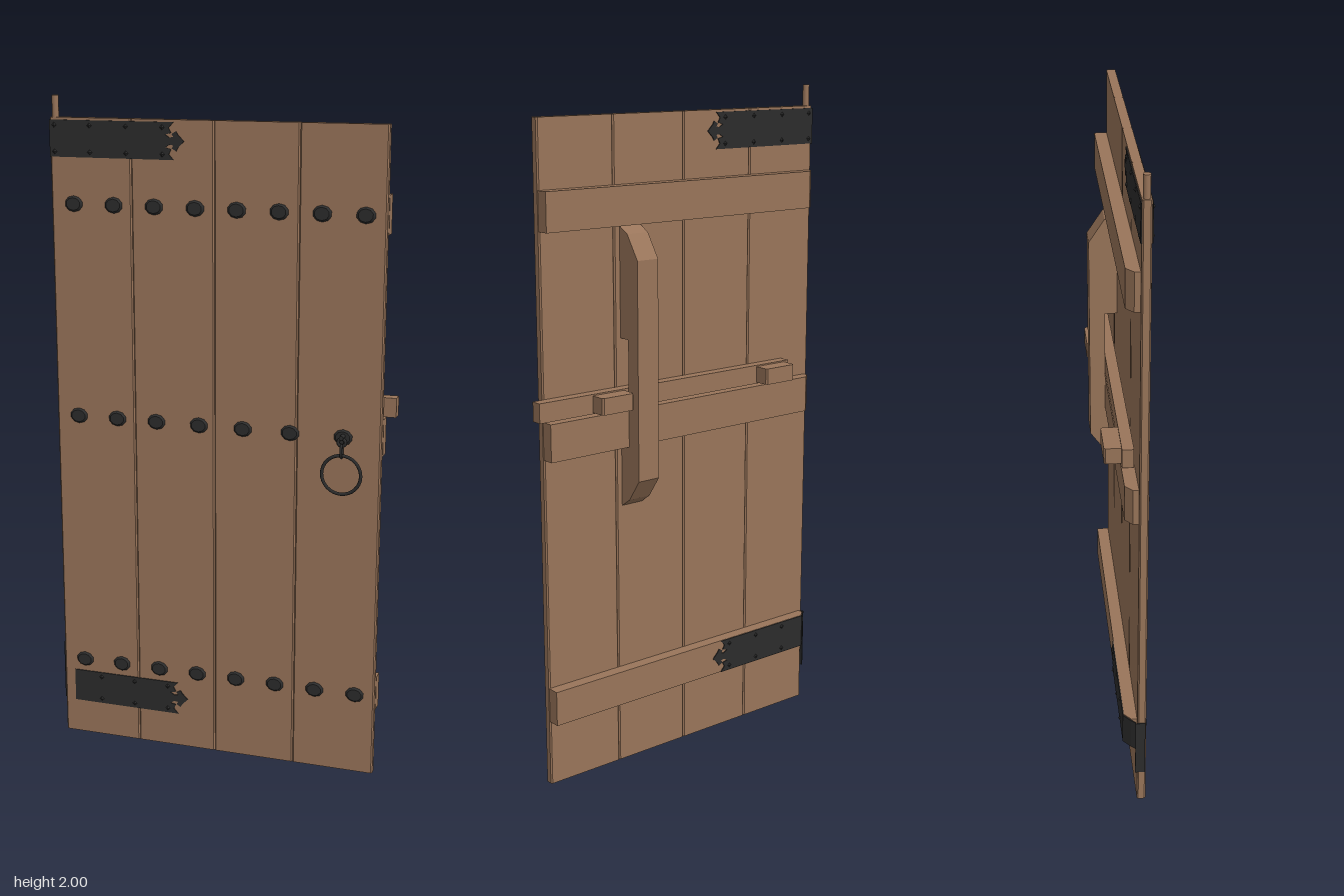
import * as THREE from 'three';

const wood = new THREE.MeshStandardMaterial({ color: 0x99755a });
wood.name = 'wood';
const iron = new THREE.MeshStandardMaterial({ color: 0x2c2c2c });
iron.name = 'iron';

const shapeOf = (pts) => new THREE.Shape(pts.map(([a, b]) => new THREE.Vector2(a, b)));
const extrude = (pts, depth) =>
  new THREE.ExtrudeGeometry(shapeOf(pts), { depth, bevelEnabled: false });

// Plan outline (x, z) raised from y0 to y1
function planGeometry(pts, y0, y1) {
  return extrude(pts.map(([x, z]) => [x, -z]), y1 - y0).rotateX(-Math.PI / 2).translate(0, y0, 0);
}

function boxGeometry(x0, x1, y0, y1, z0, z1) {
  return new THREE.BoxGeometry(x1 - x0, y1 - y0, z1 - z0)
    .translate((x0 + x1) / 2, (y0 + y1) / 2, (z0 + z1) / 2);
}

export function createModel() {
  const door = new THREE.Group();
  door.name = 'plankDoor';
  const add = (name, geometry, material, parent = door) => {
    const mesh = new THREE.Mesh(geometry, material);
    mesh.name = name;
    parent.add(mesh);
    return mesh;
  };

  const back = 0.014, front = 0.04;

  // Four planks with chamfered long edges
  const w = 0.2512, c = 0.004;
  for (let i = 0; i < 4; i++) {
    const a = -0.52 + i * w, b = a + w;
    add('plank', planGeometry([
      [a + c, back], [b - c, back], [b, back + c], [b, front - c],
      [b - c, front], [a + c, front], [a, front - c], [a, back + c],
    ], 0, 1.938), wood);
  }

  // Pivot pin at the hinge corner
  add('pivotPin', new THREE.CylinderGeometry(0.01, 0.01, 0.1, 12)
    .translate(-0.506, 1.95, 0.027), wood);

  // Three cross battens, chamfered at the hinge end
  for (const [y0, y1] of [[1.634, 1.745], [0.995, 1.105], [0.2, 0.305]]) {
    add('batten', planGeometry([
      [-0.507, back], [0.485, back], [0.485, -0.023], [-0.483, -0.023], [-0.507, -0.002],
    ], y0, y1), wood);
  }

  // Sliding bolt with two grips
  add('slidingBar', boxGeometry(-0.405, 0.52, 1.113, 1.17, -0.022, 0.011), wood);
  for (const [x0, x1] of [[-0.388, -0.275], [0.23, 0.34]]) {
    const r = 0.005;
    add('barGrip', planGeometry([
      [x0, 0], [x1, 0], [x1, -0.07 + r], [x1 - r, -0.07], [x0 + r, -0.07], [x0, -0.07 + r],
    ], 1.117, 1.166), wood);
  }

  // Upright guide, notched where the bar and batten pass
  add('barGuide', extrude([
    [back, 1.63], [-0.022, 1.61], [-0.068, 1.54], [-0.068, 0.9], [-0.022, 0.835], [back, 0.81],
    [back, 0.995], [-0.022, 0.995], [-0.022, 1.31], [back, 1.31],
  ], 0.073).rotateY(-Math.PI / 2).translate(0.214, 0, 0), wood);

  // Rows of flattened nail heads
  const evenRow = Array.from({ length: 8 }, (_, i) => -0.45 + i * 0.125);
  const middleRow = [-0.45, -0.325, -0.2, -0.066, 0.07, 0.214, 0.373];
  const studGeometry = new THREE.CylinderGeometry(0.021, 0.027, 0.006, 10)
    .rotateX(Math.PI / 2).scale(1.05, 0.88, 1);
  for (const [y, row] of [[1.69, evenRow], [1.05, middleRow], [0.252, evenRow]]) {
    for (const x of row) add('stud', studGeometry, iron).position.set(x, y, front + 0.003);
  }

  // Strap hinge with a notched end and pointed tip; side is +1 front, -1 back
  function strapHinge(name, x0, y0, y1, z, side) {
    const group = new THREE.Group();
    group.name = name;
    const m = (y0 + y1) / 2, h = (y1 - y0) / 2;
    const upper = [
      [x0, h], [-0.138, h], [-0.152, h - 0.016], [-0.145, h - 0.03], [-0.163, 0.018],
      [-0.15, 0.01], [-0.138, 0.012], [-0.143, 0.02], [-0.13, 0.028], [-0.124, 0.018],
    ];
    const lower = upper.map(([x, y]) => [x, -y]).reverse();
    const outline = [...upper, [-0.106, 0], ...lower].map(([x, y]) => [x, y + m]);
    add('strap', extrude(outline, 0.003).translate(0, 0, side > 0 ? z : z - 0.003), iron, group);
    // Bolt heads along both edges
    const bolt = new THREE.OctahedronGeometry(0.009).scale(1, 1, 0.7);
    for (const x of [-0.505, -0.395, -0.283, -0.172]) {
      if (x < x0 + 0.01) continue;
      for (const s of [-1, 1]) {
        add('bolt', bolt, iron, group).position.set(x, m + s * (h - 0.015), z + side * 0.002);
      }
    }
    door.add(group);
  }
  strapHinge('upperFrontHinge', -0.52, 1.825, 1.931, front, 1);
  strapHinge('upperBackHinge', -0.52, 1.825, 1.931, back, -1);
  strapHinge('lowerFrontHinge', -0.485, 0.108, 0.212, front, 1);
  strapHinge('lowerBackHinge', -0.483, 0.2, 0.304, -0.023, -1);

  // Iron on the hinge edge and over the lower batten's chamfered end
  add('hingeEdgePlate', boxGeometry(-0.523, -0.52, 0.11, 0.3, 0.008, 0.037), iron);
  add('hingeEndPlate', planGeometry([
    [-0.483, -0.023], [-0.507, -0.002], [-0.52, 0.01], [-0.523, 0.01],
    [-0.51, -0.004], [-0.484, -0.026],
  ], 0.202, 0.302), iron);

  // Pull ring hanging from a staple
  const handle = new THREE.Group();
  handle.name = 'pullHandle';
  handle.position.set(0.374, 0, 0.06);
  add('pullRing', new THREE.TorusGeometry(0.058, 0.005, 8, 32).translate(0, 0.943, 0), iron, handle);
  add('link', new THREE.TorusGeometry(0.015, 0.004, 6, 16)
    .rotateY(Math.PI / 2).scale(1, 1.2, 0.7).translate(0, 1.013, 0), iron, handle);
  add('shank', new THREE.CylinderGeometry(0.007, 0.007, 0.03, 8)
    .rotateX(Math.PI / 2).translate(0, 1.055, -0.005), iron, handle);
  add('shankEye', new THREE.TorusGeometry(0.011, 0.005, 6, 14)
    .translate(0, 1.04, 0), iron, handle);
  door.add(handle);

  return door;
}
